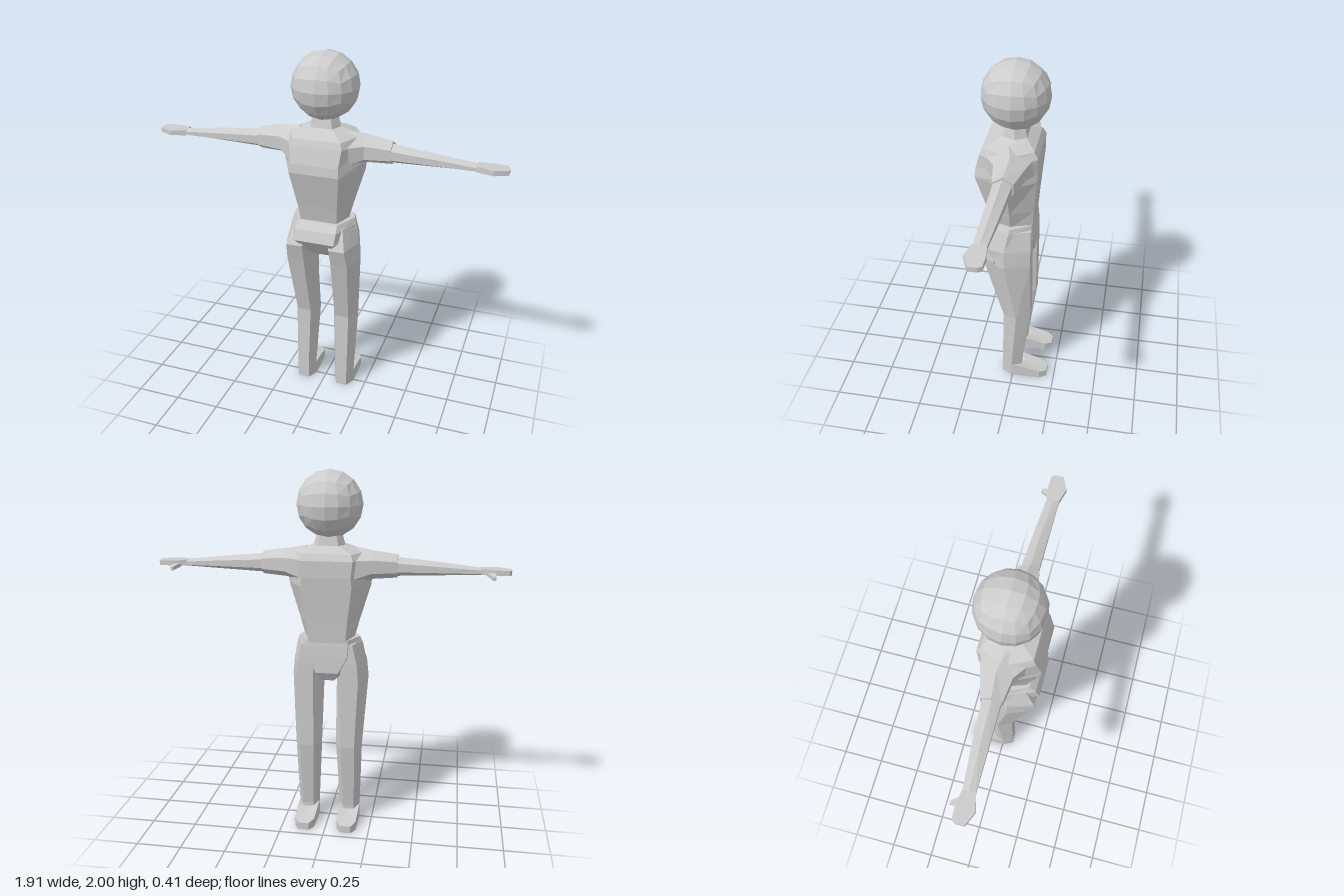
import * as THREE from 'three';

const material = new THREE.MeshStandardMaterial({ color: 0xcccccc, flatShading: true });

function addMesh(parent, name, geometry) {
  geometry.computeVertexNormals();
  const mesh = new THREE.Mesh(geometry, material);
  mesh.name = name;
  parent.add(mesh);
  return mesh;
}

// Closed faceted skin through a list of rings of [x, y, z]; winding is fixed by signed volume.
function loft(rings) {
  const tris = [];
  const n = rings[0].length;
  const middle = (ring) => [0, 1, 2].map((k) => ring.reduce((sum, p) => sum + p[k], 0) / n);
  const first = middle(rings[0]);
  const last = middle(rings[rings.length - 1]);
  for (let i = 0; i < n; i++) {
    const j = (i + 1) % n;
    for (let r = 0; r + 1 < rings.length; r++) {
      const [a, b] = [rings[r], rings[r + 1]];
      tris.push([a[i], a[j], b[j]], [a[i], b[j], b[i]]);
    }
    tris.push([first, rings[0][j], rings[0][i]]);
    tris.push([last, rings[rings.length - 1][i], rings[rings.length - 1][j]]);
  }
  let volume = 0;
  for (const [a, b, c] of tris) {
    volume += new THREE.Vector3(...a).dot(new THREE.Vector3(...b).cross(new THREE.Vector3(...c)));
  }
  if (volume < 0) tris.forEach((t) => t.reverse());
  const geometry = new THREE.BufferGeometry();
  geometry.setAttribute('position', new THREE.Float32BufferAttribute(tris.flat(2), 3));
  return geometry;
}

// Eight-sided horizontal body section: side half width, flat half width, z extents.
function bodyRing([y, side, flat, zMin, zMax, zSide]) {
  return [
    [0, y, zMax], [flat, y, zMax], [side, y, zSide], [flat, y, zMin],
    [0, y, zMin], [-flat, y, zMin], [-side, y, zSide], [-flat, y, zMax],
  ];
}

// Six-sided horizontal leg section with flat front and back.
function legRing(s, [y, x0, x1, zMin, zMax, zSide]) {
  const inset = (x1 - x0) * 0.24;
  return [
    [x0, zSide], [x0 + inset, zMax], [x1 - inset, zMax],
    [x1, zSide], [x1 - inset, zMin], [x0 + inset, zMin],
  ].map(([x, z]) => [s * x, y, z]);
}

// Six-sided upright arm section with a ridge on top and below.
function armRing(s, [x, yMin, yMax, zMin, zMax]) {
  const zMid = (zMin + zMax) / 2;
  const [low, high] = [yMin + (yMax - yMin) * 0.27, yMax - (yMax - yMin) * 0.27];
  return [
    [yMax, zMid], [high, zMax], [low, zMax], [yMin, zMid], [low, zMin], [high, zMin],
  ].map(([y, z]) => [s * x, y, z]);
}

// Flat part standing on an outline in x and z.
function slab(s, outline, bottom, top) {
  return loft([bottom, top].map((height) => outline.map(([x, z]) => [s * x, height(x, z), z])));
}

function addLimbs(parent, s) {
  const side = s > 0 ? 'left' : 'right';

  // Short sleeve widening into the shoulder
  addMesh(parent, side + 'Sleeve', loft([
    [0.13, 1.38, 1.6, -0.11, 0.15],
    [0.23, 1.43, 1.585, -0.085, 0.08],
    [0.365, 1.44, 1.565, -0.047, 0.06],
  ].map((r) => armRing(s, r))));

  // Bare arm tapering to the wrist
  addMesh(parent, side + 'Arm', loft([
    [0.34, 1.448, 1.553, -0.04, 0.055],
    [0.6, 1.458, 1.527, -0.025, 0.055],
    [0.81, 1.466, 1.503, -0.01, 0.055],
  ].map((r) => armRing(s, r))));

  // Mitten hand and thumb
  const palm = [
    [0.8, -0.01], [0.87, -0.022], [0.945, -0.02], [0.957, 0],
    [0.957, 0.045], [0.885, 0.077], [0.8, 0.055],
  ];
  addMesh(parent, side + 'Hand', slab(s, palm, () => 1.472, (x) => 1.502 - (x - 0.8) * 0.03));
  const thumb = [[0.82, 0], [0.862, -0.055], [0.876, -0.052], [0.874, 0]];
  addMesh(parent, side + 'Thumb', slab(s, thumb,
    (x, z) => 1.472 + z * 0.4, (x, z) => 1.492 + z * 0.4));

  // Trouser leg from the hip to the ankle
  addMesh(parent, side + 'Leg', loft([
    [0.01, 0.06, 0.178, -0.05, 0.065, 0.005],
    [0.09, 0.06, 0.178, -0.05, 0.063, 0.005],
    [0.48, 0.04, 0.19, -0.1, 0.055, -0.025],
    [0.87, 0.035, 0.215, -0.1, 0.155, 0.04],
    [0.97, 0.035, 0.205, -0.1, 0.185, 0.04],
    [1.08, 0.03, 0.172, -0.095, 0.13, 0.02],
  ].map((r) => legRing(s, r))));

  // Foot with the instep sloping down to the toe
  const sole = [
    [0.06, 0.005], [0.088, 0.065], [0.15, 0.065], [0.178, 0.005], [0.178, -0.05],
    [0.175, -0.165], [0.15, -0.205], [0.09, -0.205], [0.065, -0.165], [0.06, -0.05],
  ];
  addMesh(parent, side + 'Foot', slab(s, sole, () => 0,
    (x, z) => 0.08 - 0.25 * Math.max(0, -0.05 - z)));
}

export function createModel() {
  const model = new THREE.Group();
  model.name = 'figure';

  // Head: a cube divided and rounded into a ball of quads
  const head = new THREE.BoxGeometry(2, 2, 2, 4, 4, 4);
  const position = head.attributes.position;
  const v = new THREE.Vector3();
  for (let i = 0; i < position.count; i++) {
    v.fromBufferAttribute(position, i);
    v.set(...v.toArray().map((c) => Math.tan(c * Math.PI / 4))).normalize().multiplyScalar(0.178);
    position.setXYZ(i, v.x, v.y, v.z);
  }
  addMesh(model, 'head', head).position.set(0, 1.822, 0.005);

  // Neck
  addMesh(model, 'neck', loft([
    [1.58, 0.095, 0.06, -0.065, 0.07, 0],
    [1.61, 0.085, 0.055, -0.06, 0.065, 0],
    [1.68, 0.065, 0.04, -0.045, 0.05, 0],
  ].map(bodyRing)));

  // Shirt body
  addMesh(model, 'torso', loft([
    [1.09, 0.135, 0.1, -0.1, 0.12, 0.015],
    [1.2, 0.165, 0.11, -0.108, 0.145, 0.015],
    [1.4, 0.225, 0.135, -0.125, 0.2, 0.015],
    [1.45, 0.23, 0.13, -0.13, 0.195, 0.015],
    [1.54, 0.22, 0.14, -0.13, 0.17, 0.01],
    [1.575, 0.2, 0.13, -0.11, 0.155, 0.005],
    [1.61, 0.09, 0.06, -0.06, 0.07, 0],
  ].map(bodyRing)));

  // Hips narrowing to the crotch
  addMesh(model, 'pelvis', loft([
    [0.87, 0.05, 0.035, -0.08, 0.06, 0],
    [0.92, 0.12, 0.06, -0.11, 0.13, 0.02],
    [1.01, 0.195, 0.11, -0.105, 0.2, 0.03],
    [1.07, 0.182, 0.115, -0.1, 0.178, 0.02],
    [1.105, 0.168, 0.11, -0.095, 0.14, 0.015],
  ].map(bodyRing)));

  for (const s of [1, -1]) addLimbs(model, s);
  return model;
}
